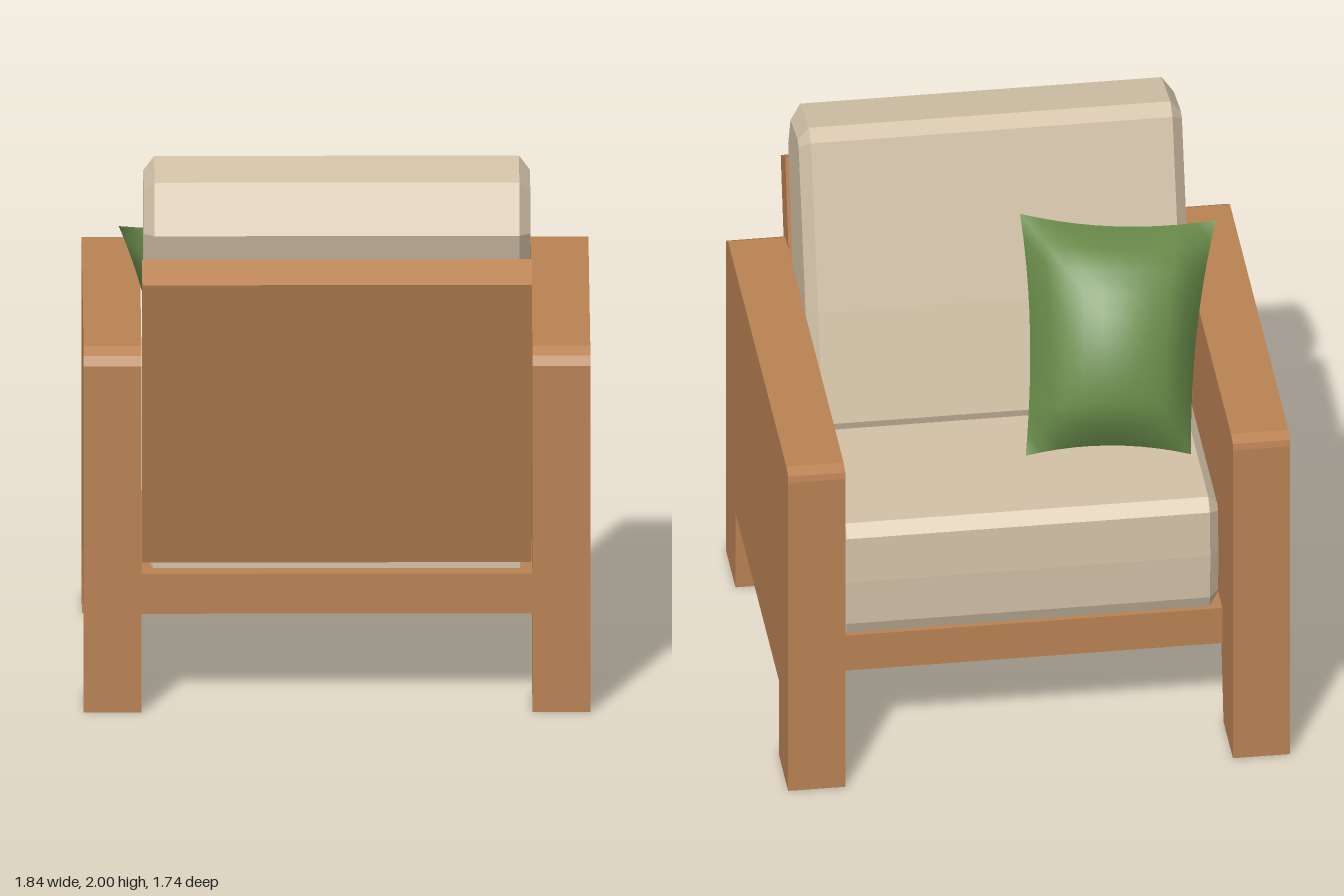
import * as THREE from 'three';

const wood = new THREE.MeshStandardMaterial({ color: 0xb98253 });
wood.name = 'wood';
const fabric = new THREE.MeshStandardMaterial({ color: 0xd2c1a7 });
fabric.name = 'creamFabric';
const green = new THREE.MeshStandardMaterial({ color: 0x688a49 });
green.name = 'greenFabric';

// Side profile of [z, y] points, extruded across x and centred at cx; chamfer cuts the end edges
function slab(name, profile, width, cx, material, chamferX = 0, chamferIn = 0) {
  const shape = new THREE.Shape(profile.map(([z, y]) => new THREE.Vector2(z, y)));
  const depth = width - 2 * chamferX;
  const geometry = new THREE.ExtrudeGeometry(shape, {
    depth,
    bevelEnabled: chamferX > 0,
    bevelThickness: chamferX,
    bevelSize: chamferIn,
    bevelOffset: -chamferIn,
    bevelSegments: 1,
  });
  geometry.translate(0, 0, -depth / 2);
  geometry.rotateY(-Math.PI / 2);
  geometry.translate(cx, 0, 0);
  const mesh = new THREE.Mesh(geometry, material);
  mesh.name = name;
  return mesh;
}

// Pillow: two bulging faces stretched between four corners, with edges pulled in
function createPillow() {
  const [topA, topB, lowA, lowB] = [
    [-0.79, 1.66, 0.16], [-0.08, 1.71, 0.22],
    [-0.64, 0.93, -0.26], [-0.04, 0.95, -0.22],
  ].map((p) => new THREE.Vector3(...p));
  const across = topB.clone().sub(topA);
  const down = lowA.clone().sub(topA);
  const normal = down.cross(across).normalize();
  if (normal.z > 0) normal.negate();

  const n = 10;
  const pillow = new THREE.Group();
  pillow.name = 'pillow';
  for (const side of [1, -1]) {
    const geometry = new THREE.PlaneGeometry(2, 2, n, n);
    const pos = geometry.attributes.position;
    const p = new THREE.Vector3();
    const q = new THREE.Vector3();
    for (let i = 0; i < pos.count; i++) {
      const u = pos.getX(i);
      const v = pos.getY(i);
      const s = (u * (1 - 0.08 * (1 - v * v)) + 1) / 2;
      const t = (v * (1 - 0.08 * (1 - u * u)) + 1) / 2;
      p.lerpVectors(lowA, lowB, s);
      q.lerpVectors(topA, topB, s);
      p.lerp(q, t);
      const bulge = Math.sqrt(Math.max(0, (1 - u * u) * (1 - v * v)));
      p.addScaledVector(normal, side * (side > 0 ? 0.23 : 0.18) * bulge);
      pos.setXYZ(i, p.x, p.y, p.z);
    }
    // The back-facing half (+z) keeps its winding, the other is reversed
    if (side > 0) {
      const index = geometry.index.array;
      for (let i = 0; i < index.length; i += 3) {
        [index[i], index[i + 1]] = [index[i + 1], index[i]];
      }
    }
    geometry.computeVertexNormals();
    const mesh = new THREE.Mesh(geometry, green);
    mesh.name = side > 0 ? 'pillowFront' : 'pillowBack';
    pillow.add(mesh);
  }
  return pillow;
}

export function createModel() {
  const chair = new THREE.Group();
  chair.name = 'armchair';

  // Arms: solid side panels with the legs cut from the same slab
  const armProfile = [
    [0.79, 0], [0.79, 1.3], [0.775, 1.335], [0.73, 1.36],
    [-0.82, 1.36], [-0.865, 1.345], [-0.87, 1.32], [-0.87, 0],
    [-0.62, 0], [-0.62, 0.32], [0.53, 0.32], [0.53, 0],
  ];
  const wedge = [[-0.62, 0], [-0.56, 0.32], [-0.62, 0.32]];
  for (const [side, label] of [[1, 'left'], [-1, 'right']]) {
    chair.add(slab(label + 'Arm', armProfile, 0.21, side * 0.815, wood));
    chair.add(slab(label + 'LegBrace', wedge, 0.05, side * 0.735, wood));
  }

  // Base frame under the seat
  chair.add(slab('base', [[-0.59, 0.32], [0.6, 0.32], [0.6, 0.47], [-0.59, 0.47]], 1.42, 0, wood));

  // Leaning back board
  chair.add(slab('backBoard', [
    [0.59, 0.51], [0.87, 1.625], [0.75, 1.69], [0.46, 0.54],
  ], 1.415, 0, wood));

  // Seat cushion
  chair.add(slab('seatCushion', [
    [-0.57, 0.47], [0.52, 0.47], [0.52, 0.92], [-0.54, 0.92],
    [-0.585, 0.88], [-0.595, 0.7], [-0.59, 0.52],
  ], 1.4, 0, fabric, 0.035, 0.04));

  // Back cushion, leaning on the board
  chair.add(slab('backCushion', [
    [0.12, 0.85], [0.5, 0.78], [0.655, 1.36], [0.76, 1.78], [0.68, 1.96],
    [0.45, 2.0], [0.39, 1.97], [0.28, 1.62], [0.2, 1.36], [0.09, 0.95],
  ], 1.405, 0, fabric, 0.04, 0.05));

  chair.add(createPillow());
  return chair;
}
